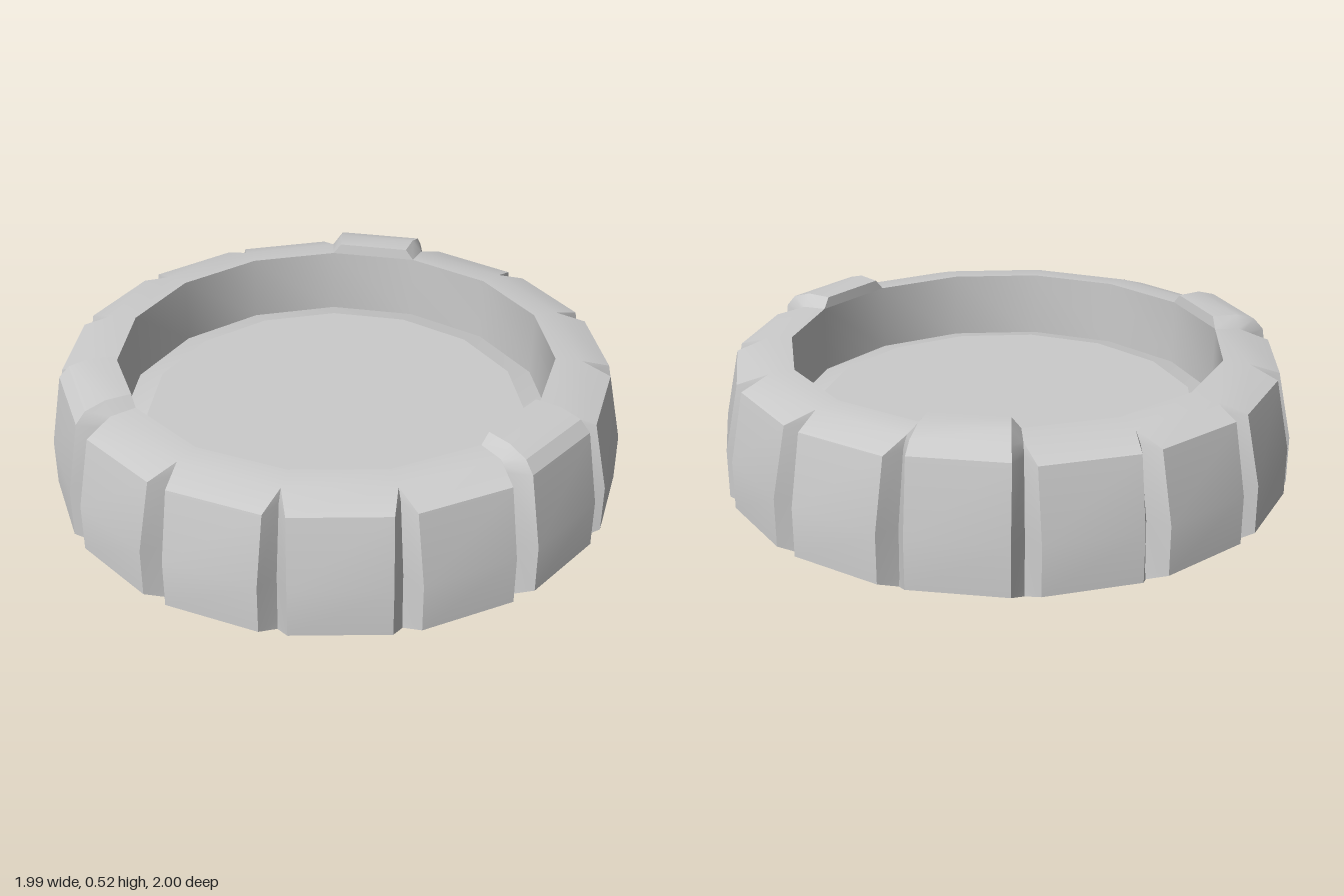
import * as THREE from 'three';
import { toCreasedNormals } from 'three/addons/utils/BufferGeometryUtils.js';

const SIDES = 15;
const STEP = (Math.PI * 2) / SIDES;
const CREASE = 0.52;

// Rows from the base edge up and over the rim:
// [block radius, block y, half width of the notch, notch radius, notch y]
const PLAIN = [
  [0.94, 0, 0, 0.94, 0],
  [1.0, 0.03, 0.046, 0.935, 0.03],
  [1.0, 0.2, 0.046, 0.93, 0.2],
  [0.95, 0.44, 0.036, 0.88, 0.44],
  [0.85, 0.475, 0, 0.85, 0.475],
  [0.76, 0.48, 0, 0.76, 0.48],
];
const RAISED = [
  ...PLAIN.slice(0, 3),
  [0.955, 0.455, 0.04, 0.88, 0.44],
  [0.92, 0.495, 0.04, 0.865, 0.46],
  [0.85, 0.517, 0.036, 0.85, 0.475],
  [0.76, 0.517, 0.03, 0.76, 0.48],
  [0.76, 0.48, 0, 0.76, 0.48],
];

const polar = (r, y, a) => new THREE.Vector3(r * Math.cos(a), y, r * Math.sin(a));

// Adds a triangle unless it has collapsed to a line
function addTriangle(out, a, b, c) {
  const area = b.clone().sub(a).cross(c.clone().sub(a)).length();
  if (area > 1e-6) for (const p of [a, b, c]) out.push(p.x, p.y, p.z);
}

// One block with half a notch on each side
function addBlock(out, rows, k) {
  const a0 = k * STEP, a1 = a0 + STEP;
  const grid = rows.map(([r, y, w, nr, ny]) => [
    polar(nr, ny, a0), polar(r, y, a0 + w / r), polar(r, y, a1 - w / r), polar(nr, ny, a1),
  ]);
  for (let j = 0; j < grid.length - 1; j++) {
    for (let i = 0; i < 3; i++) {
      const [p, q] = [grid[j], grid[j + 1]];
      // Split the two notch sides as mirror images
      if (i < 2) {
        addTriangle(out, p[i], q[i], p[i + 1]);
        addTriangle(out, q[i], q[i + 1], p[i + 1]);
      } else {
        addTriangle(out, p[i], q[i], q[i + 1]);
        addTriangle(out, p[i], q[i + 1], p[i + 1]);
      }
    }
  }
}

export function createModel() {
  const group = new THREE.Group();
  group.name = 'notchedTray';
  const material = new THREE.MeshStandardMaterial({ color: 0xcccccc });

  const add = (name, geometry) => {
    const mesh = new THREE.Mesh(toCreasedNormals(geometry, CREASE), material);
    mesh.name = name;
    mesh.position.x = -0.006;
    group.add(mesh);
  };
  const addBlocks = (name, rows, indices) => {
    const out = [];
    indices.forEach((k) => addBlock(out, rows, k));
    const geometry = new THREE.BufferGeometry();
    geometry.setAttribute('position', new THREE.Float32BufferAttribute(out, 3));
    add(name, geometry);
  };
  const addLathe = (name, profile) =>
    add(name, new THREE.LatheGeometry(
      profile.map(([r, y]) => new THREE.Vector2(r, y)), SIDES, Math.PI / 2));

  // Outer ring: every fifth block stands higher
  const all = Array.from({ length: SIDES }, (_, k) => k);
  addBlocks('rimBlocks', PLAIN, all.filter((k) => k % 5 !== 3));
  addBlocks('raisedBlocks', RAISED, all.filter((k) => k % 5 === 3));

  // Inside wall with its floor border, the floor, and the flat underside
  addLathe('innerWall', [[0.76, 0.48], [0.76, 0.24], [0.67, 0.26]]);
  addLathe('floor', [[0.67, 0.26], [0, 0.26]]);
  addLathe('underside', [[0, 0], [0.94, 0]]);

  return group;
}
